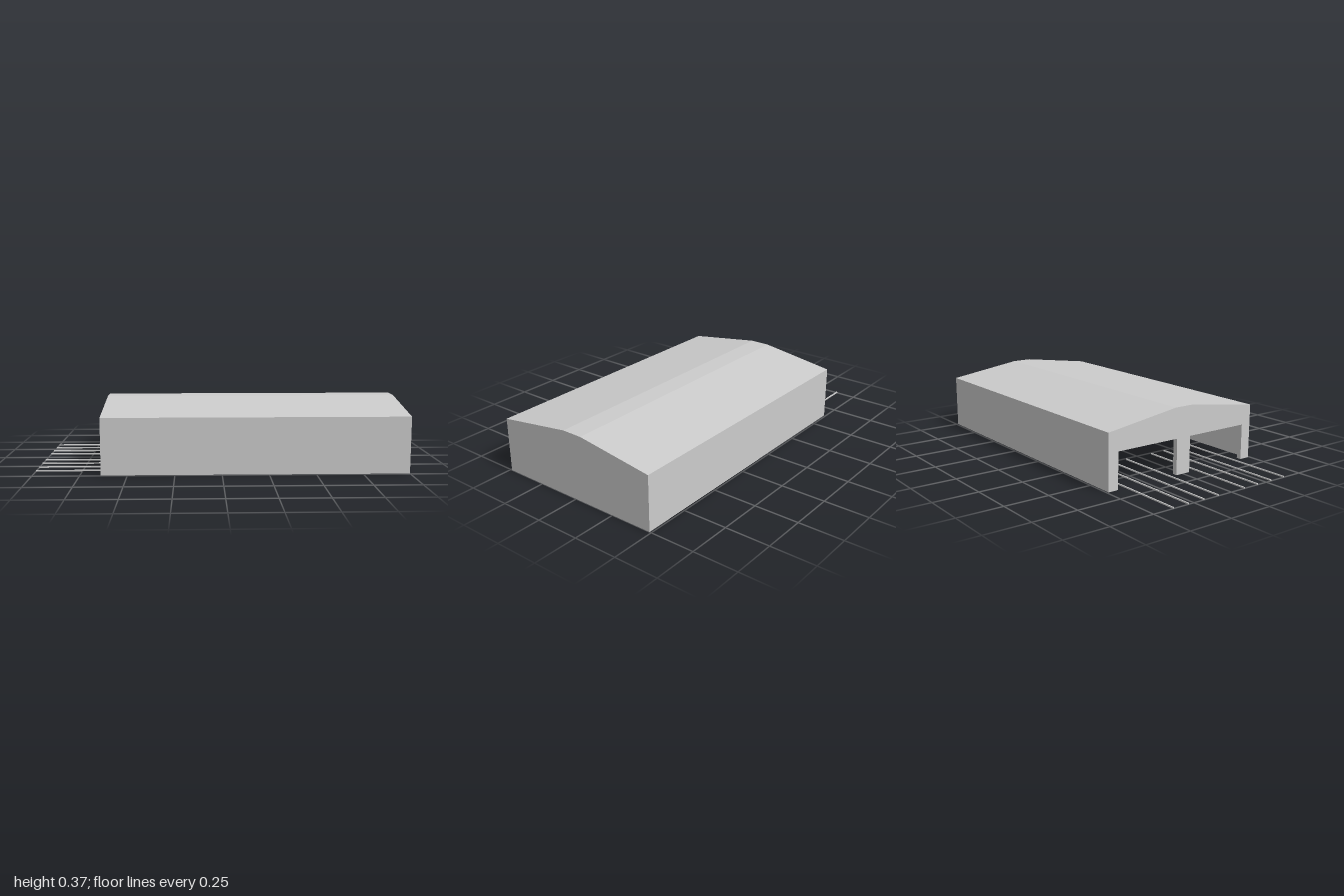
import * as THREE from 'three';

const material = new THREE.MeshStandardMaterial({ color: 0xcccccc, flatShading: true });
const X0 = -0.64, X1 = 1;                       // open end and closed end
const HALF = 0.49, EAVE = 0.306, TOP = 0.368, RIDGE = 0.058;
const WALL = 0.012, DOOR_WALL = 0.028;

// Extrudes a (z, y) outline along x, from x0 to x1
function extrudeX(name, points, x0, x1) {
  const shape = new THREE.Shape(points.map(([z, y]) => new THREE.Vector2(-z, y)));
  const geometry = new THREE.ExtrudeGeometry(shape, { depth: x1 - x0, bevelEnabled: false });
  geometry.rotateY(Math.PI / 2).translate(x0, 0, 0);
  const mesh = new THREE.Mesh(geometry, material);
  mesh.name = name;
  return mesh;
}

// Outline of the gable above the ground, inset by t
const gable = (t) => [
  [HALF - t, 0], [HALF - t, EAVE - t], [RIDGE, TOP - t],
  [-RIDGE, TOP - t], [-HALF + t, EAVE - t], [-HALF + t, 0],
];

export function createModel() {
  const model = new THREE.Group();
  model.name = 'trainShed';

  // Side walls and roof as one thin arch
  model.add(extrudeX('wallsAndRoof', [...gable(0), ...gable(WALL).reverse()], X0 + DOOR_WALL, X1 - WALL));

  // Closed end
  model.add(extrudeX('endWall', gable(0), X1 - WALL, X1));

  // Entrance wall with two doorways between three posts
  const post = 0.43, mid = 0.045, door = 0.2;
  model.add(extrudeX('entranceWall', [
    ...gable(0),
    [-post, 0], [-post, door], [-mid, door], [-mid, 0],
    [mid, 0], [mid, door], [post, door], [post, 0],
  ], X0, X0 + DOOR_WALL));

  // Four tracks, running a short way into the shed
  const railEnd = -0.27, size = 0.007;
  const rails = new THREE.Group();
  rails.name = 'rails';
  for (const side of [-1, 1]) {
    for (const z of [0.09, 0.185, 0.285, 0.38]) {
      const rail = new THREE.Mesh(new THREE.BoxGeometry(railEnd + 1, size, size), material);
      rail.name = 'rail';
      rail.position.set((railEnd - 1) / 2, size / 2, side * z);
      rails.add(rail);
    }
  }
  model.add(rails);

  return model;
}
